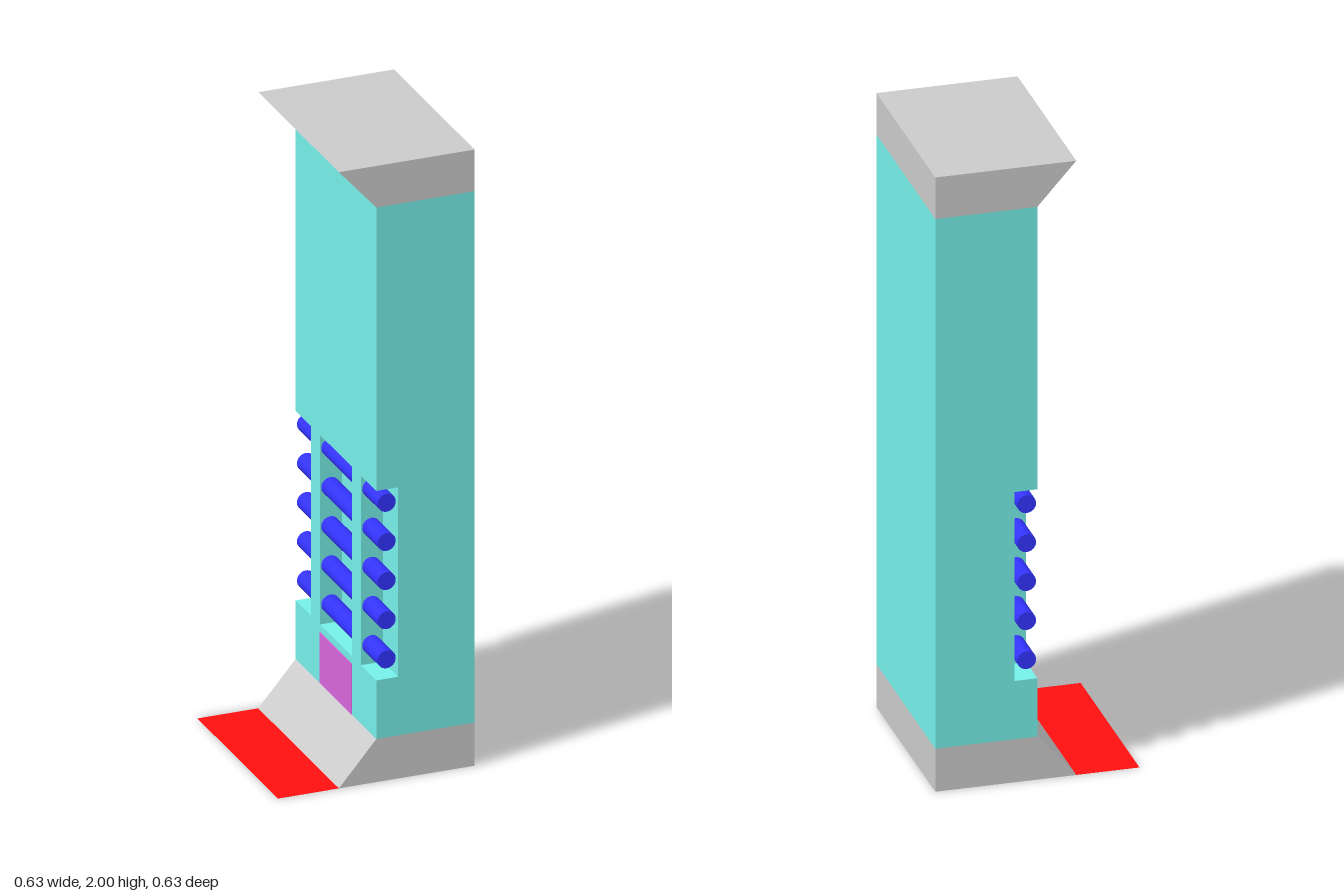
import * as THREE from 'three';

const HALF = 0.315; // half depth, and right face of the cabinet
const BASE = 0.14, TOP = 1.865; // vertical span of the coloured body
const SLOT_LOW = 0.33, SLOT_HIGH = 0.945, SLOT_DEPTH = 0.07;
const SIDE = 0.195, MIDDLE = 0.125; // rib edges in z

const mat = (color, extra = {}) => new THREE.MeshStandardMaterial({ color, ...extra });

const polygon = (points) => new THREE.Shape(points.map(([x, y]) => new THREE.Vector2(x, y)));

export function createModel() {
  const model = new THREE.Group();
  const grey = mat(0xcccccc), teal = mat(0x76f0ea), blue = mat(0x3333ff);

  const add = (name, geometry, material, x = 0, y = 0, z = 0) => {
    const mesh = new THREE.Mesh(geometry, material);
    mesh.name = name;
    mesh.position.set(x, y, z);
    model.add(mesh);
    return mesh;
  };

  // Sloped caps at the foot and the head
  const cap = (name, outer, inner) => {
    const points = [[-0.12, outer], [HALF, outer], [HALF, inner], [0, inner]];
    const geometry = new THREE.ExtrudeGeometry(polygon(points), { depth: 2 * HALF, bevelEnabled: false });
    add(name, geometry, grey, 0, 0, -HALF);
  };
  cap('base', 0, BASE);
  cap('topCap', 2, TOP);

  // Solid rear part of the body
  const width = HALF - SLOT_DEPTH, height = TOP - BASE;
  add('body', new THREE.BoxGeometry(width, height, 2 * HALF), teal,
    SLOT_DEPTH + width / 2, BASE + height / 2, 0);

  // Slotted face: notched at both edges, with a window between two ribs
  const face = polygon([
    [-HALF, BASE], [HALF, BASE], [HALF, SLOT_LOW], [SIDE, SLOT_LOW],
    [SIDE, SLOT_HIGH], [HALF, SLOT_HIGH], [HALF, TOP], [-HALF, TOP],
    [-HALF, SLOT_HIGH], [-SIDE, SLOT_HIGH], [-SIDE, SLOT_LOW], [-HALF, SLOT_LOW],
  ]);
  face.holes.push(polygon([
    [-MIDDLE, SLOT_LOW], [-MIDDLE, SLOT_HIGH], [MIDDLE, SLOT_HIGH], [MIDDLE, SLOT_LOW],
  ]));
  const faceGeometry = new THREE.ExtrudeGeometry(face, { depth: SLOT_DEPTH, bevelEnabled: false });
  faceGeometry.rotateY(-Math.PI / 2);
  add('slottedFace', faceGeometry, teal, SLOT_DEPTH, 0, 0);

  // Horizontal rods running through the ribs
  const rod = new THREE.CylinderGeometry(0.029, 0.029, 2 * HALF, 32).rotateX(Math.PI / 2);
  for (let i = 0; i < 5; i++) add('rod', rod, blue, 0.033, 0.393 + i * 0.127, 0);

  // Coloured panel under the middle window
  add('panel', new THREE.BoxGeometry(0.004, 0.165, 2 * MIDDLE), mat(0xda66dd), 0, BASE + 0.0835, 0);

  // Flat floor mat in front of the slotted face
  const mats = new THREE.PlaneGeometry(0.195, 2 * HALF).rotateX(-Math.PI / 2);
  add('floorMat', mats, mat(0xff1010, { side: THREE.DoubleSide }), -0.2175, 0, 0);

  // The head outline runs clockwise, so extrusion reorders it; faces stay outward
  return model;
}
